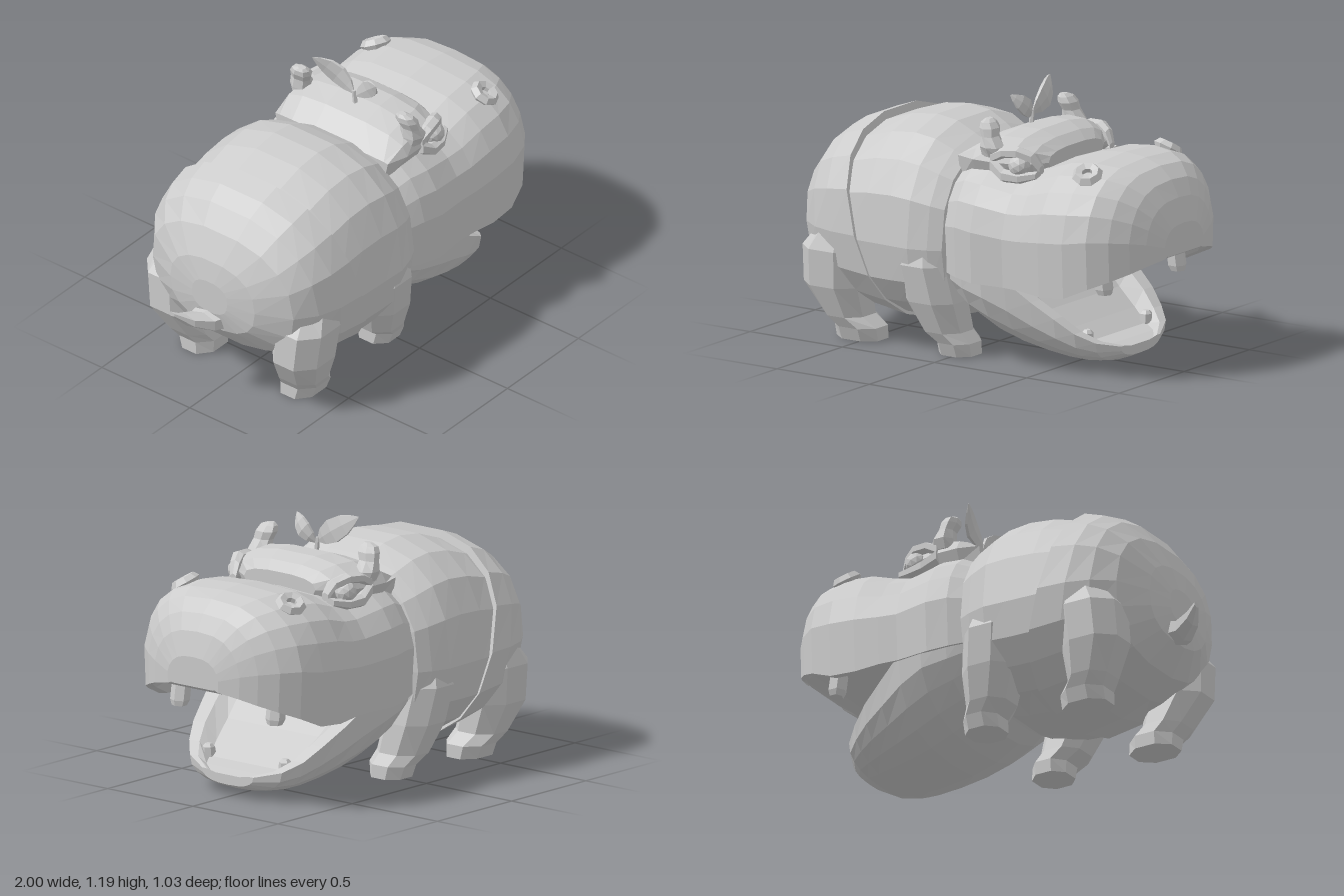
import * as THREE from 'three';

const material = new THREE.MeshStandardMaterial({ color: 0xcccccc, flatShading: true });
const V = (x, y, z) => new THREE.Vector3(x, y, z);
const spow = (v, e) => Math.sign(v) * Math.pow(Math.abs(v), e);

// Skin a list of closed rings and cap both ends.
function loft(rings) {
  const pos = [];
  const tri = (...pts) => pts.forEach((p) => pos.push(p.x, p.y, p.z));
  const n = rings[0].length;
  for (let j = 0; j < rings.length - 1; j++) {
    for (let i = 0; i < n; i++) {
      const k = (i + 1) % n;
      const a = rings[j][i], b = rings[j + 1][i], c = rings[j + 1][k], d = rings[j][k];
      tri(a, b, c);
      tri(a, c, d);
    }
  }
  const centre = (r) => r.reduce((s, p) => s.add(p), V(0, 0, 0)).divideScalar(n);
  const first = rings[0], last = rings[rings.length - 1];
  const c0 = centre(first), c1 = centre(last);
  for (let i = 0; i < n; i++) {
    const k = (i + 1) % n;
    tri(c0, first[i], first[k]);
    tri(c1, last[k], last[i]);
  }
  const g = new THREE.BufferGeometry();
  g.setAttribute('position', new THREE.Float32BufferAttribute(pos, 3));
  g.computeVertexNormals();
  return g;
}

// Cross-section across x: half width w, top, bottom, height of the widest line, squareness e.
function section(x, w, top, bottom, mid, e, n = 18) {
  return Array.from({ length: n }, (_, i) => {
    const a = (i / n) * Math.PI * 2, s = spow(Math.sin(a), e);
    return V(x, mid + s * (s > 0 ? top - mid : mid - bottom), w * spow(Math.cos(a), e));
  });
}

// Loft of ellipses facing dir; rows are [x, y, z, side radius, other radius].
function limb(dir, rows, sides = 8) {
  dir.normalize();
  const ref = Math.abs(dir.x) > 0.9 ? V(0, 1, 0) : V(1, 0, 0);
  const perp = dir.clone().cross(ref).normalize();
  return loft(rows.map(([x, y, z, rp, rr]) => Array.from({ length: sides }, (_, i) => {
    const a = ((i + 0.5) / sides) * Math.PI * 2;
    return V(x, y, z).addScaledVector(perp, rp * spow(Math.cos(a), 0.9))
      .addScaledVector(ref, rr * spow(Math.sin(a), 0.9));
  })));
}

export function createModel() {
  const model = new THREE.Group();
  const add = (name, geometry) => {
    const mesh = new THREE.Mesh(geometry, material);
    mesh.name = name;
    model.add(mesh);
    return mesh;
  };

  // Front half of the barrel: x, half width, top, bottom
  add('frontBody', loft([
    [-0.6, 0.47, 0.94, 0.2], [-0.5, 0.5, 0.975, 0.14], [-0.38, 0.505, 1.015, 0.11],
    [-0.25, 0.51, 1.03, 0.11], [-0.14, 0.515, 1.015, 0.12], [-0.05, 0.49, 0.97, 0.14],
    [0.01, 0.46, 0.935, 0.18], [0.03, 0.4, 0.88, 0.24],
  ].map(([x, w, t, b]) => section(x, w, t, b, 0.5, 0.81))));

  // Rump shell with a rim that slants forward towards the belly
  const rump = [
    [-0.86, 0.1, 0.6, 0.44], [-0.845, 0.24, 0.7, 0.35], [-0.79, 0.4, 0.825, 0.24],
    [-0.72, 0.47, 0.915, 0.17], [-0.64, 0.505, 0.965, 0.12], [-0.54, 0.517, 1.0, 0.09],
  ].map(([x, w, t, b]) => section(x, w, t, b, 0.52, 0.82));
  rump.forEach((ring) => ring.forEach((p) => {
    p.x += ((p.x + 0.86) / 0.32) * 0.26 * Math.pow(Math.max(0, 1 - (p.y - 0.1) / 0.9), 1.3);
  }));
  add('rump', loft(rump));

  // Upper head with a shallow palate: x, half width, top, lip, palate
  add('upperHead', loft([
    [0.0, 0.435, 0.88, 0.4, 0.4], [0.08, 0.465, 0.92, 0.39, 0.39], [0.18, 0.485, 0.92, 0.38, 0.4],
    [0.34, 0.47, 0.89, 0.38, 0.45], [0.43, 0.48, 0.9, 0.38, 0.45], [0.55, 0.49, 0.943, 0.37, 0.46],
    [0.68, 0.488, 0.957, 0.38, 0.47], [0.79, 0.46, 0.947, 0.43, 0.48], [0.87, 0.4, 0.92, 0.465, 0.495],
    [0.93, 0.325, 0.865, 0.495, 0.515], [0.97, 0.25, 0.79, 0.52, 0.53], [1.0, 0.15, 0.68, 0.54, 0.545],
  ].map(([x, w, top, lip, roof]) => {
    const ring = [];
    const e = 0.62 + 0.12 * THREE.MathUtils.smoothstep(x, 0.7, 1);
    for (let i = 0; i <= 12; i++) {
      const a = (i / 12) * Math.PI;
      const bulge = i % 12 ? 1.02 : 0.975;
      ring.push(V(x, lip + (top - lip) * Math.pow(Math.abs(Math.sin(a)), e), w * bulge * spow(Math.cos(a), e)));
    }
    for (const f of [-0.87, -0.78, -0.4, 0, 0.4, 0.78, 0.87]) {
      ring.push(V(x, Math.abs(f) > 0.8 ? lip + 0.01 : roof, f * w));
    }
    return ring;
  })));

  // Lower jaw trough: x, half width, rim height, underside, floor
  add('lowerJaw', loft([
    [0.01, 0.42, 0.46, 0.22, 0.46], [0.1, 0.45, 0.46, 0.15, 0.46], [0.22, 0.47, 0.46, 0.09, 0.44],
    [0.34, 0.45, 0.41, 0.05, 0.37], [0.46, 0.415, 0.32, 0.03, 0.26], [0.56, 0.38, 0.25, 0.02, 0.185],
    [0.64, 0.335, 0.185, 0.02, 0.13], [0.71, 0.27, 0.14, 0.03, 0.115], [0.765, 0.15, 0.11, 0.055, 0.1],
  ].map(([x, w, rim, under, floor]) => {
    const ring = [];
    for (let i = 0; i <= 10; i++) {
      const a = Math.PI + (i / 10) * Math.PI;
      ring.push(V(x, rim + (rim - under) * spow(Math.sin(a), 0.8), w * spow(Math.cos(a), 0.8)));
    }
    for (const f of [0.82, 0.64, 0.3, 0, -0.3, -0.64, -0.82]) {
      ring.push(V(x, Math.abs(f) > 0.8 ? rim : floor, f * w));
    }
    return ring;
  })));

  // Skull cap ending in a brow ridge over the snout
  add('brow', loft([
    [0.0, 0.32, 0.915, 0.7], [0.1, 0.35, 0.995, 0.8], [0.2, 0.35, 1.03, 0.8], [0.3, 0.33, 1.03, 0.82],
    [0.37, 0.28, 1.0, 0.84], [0.415, 0.21, 0.96, 0.86],
  ].map(([x, w, t, b]) => section(x, w, t, b, 0.91, 0.75, 14))));

  for (const s of [1, -1]) {
    const side = s > 0 ? 'right' : 'left';

    // Legs, from the sole up
    add(side + 'HindLeg', limb(V(0, 1, 0), [
      [-0.545, 0, s * 0.28, 0.095, 0.12], [-0.545, 0.06, s * 0.29, 0.11, 0.12],
      [-0.59, 0.11, s * 0.31, 0.12, 0.11], [-0.63, 0.25, s * 0.35, 0.135, 0.155],
      [-0.62, 0.42, s * 0.365, 0.14, 0.16], [-0.59, 0.53, s * 0.35, 0.12, 0.1],
    ]));
    add(side + 'FrontLeg', limb(V(0, 1, 0), [
      [-0.015, 0, s * 0.28, 0.095, 0.095], [-0.015, 0.06, s * 0.29, 0.11, 0.095],
      [-0.06, 0.11, s * 0.31, 0.12, 0.11], [-0.095, 0.25, s * 0.35, 0.135, 0.14],
      [-0.12, 0.42, s * 0.38, 0.135, 0.14], [-0.12, 0.53, s * 0.36, 0.12, 0.08],
    ]));

    // Cupped ear leaning in from a bulging base
    add(side + 'Ear', limb(V(0, 1, 0), [
      [0.19, 0.93, s * 0.31, 0.04, 0.06], [0.185, 0.975, s * 0.315, 0.055, 0.055],
      [0.17, 1.02, s * 0.31, 0.05, 0.035], [0.16, 1.055, s * 0.3, 0.055, 0.04],
      [0.15, 1.08, s * 0.295, 0.045, 0.03], [0.145, 1.093, s * 0.285, 0.02, 0.015],
    ], 7));

    // Sunken eye between a heavy upper lid and a cheek fold
    const eye = add(side + 'Eye', new THREE.IcosahedronGeometry(0.05, 1));
    eye.position.set(0.33, 0.905, s * 0.315);
    add(side + 'UpperLid', limb(V(1, 0, 0), [
      [0.2, 0.93, s * 0.33, 0.03, 0.03], [0.26, 0.96, s * 0.33, 0.035, 0.025],
      [0.33, 0.965, s * 0.315, 0.035, 0.025], [0.39, 0.94, s * 0.285, 0.03, 0.025],
      [0.42, 0.89, s * 0.27, 0.02, 0.02],
    ], 6));
    add(side + 'LowerLid', limb(V(1, 0, 0), [
      [0.2, 0.9, s * 0.335, 0.03, 0.035], [0.27, 0.86, s * 0.35, 0.03, 0.03],
      [0.35, 0.855, s * 0.335, 0.03, 0.025], [0.42, 0.87, s * 0.3, 0.025, 0.02],
    ], 6));

    // Raised nostril ring
    const nostril = add(side + 'Nostril', new THREE.TorusGeometry(0.045, 0.026, 5, 8));
    nostril.position.set(0.695, 0.915, s * 0.31);
    nostril.rotation.set(-Math.PI / 2 + s * 0.5, 0.2, 0);

    // Tusks
    add(side + 'UpperTusk', limb(V(0, 1, 0), [
      [0.77, 0.375, s * 0.28, 0.035, 0.03], [0.765, 0.4, s * 0.28, 0.045, 0.04],
      [0.75, 0.5, s * 0.28, 0.045, 0.04],
    ], 6));
    add(side + 'LowerTusk', limb(V(0, 1, 0), [
      [0.63, 0.1, s * 0.225, 0.035, 0.035], [0.635, 0.17, s * 0.225, 0.028, 0.028],
      [0.635, 0.185, s * 0.225, 0.015, 0.015],
    ], 6));
  }

  // Tail flicked up and to one side
  add('tail', limb(V(-1, 0, 0), [
    [-0.8, 0.4, 0, 0.1, 0.06], [-0.88, 0.395, -0.02, 0.075, 0.045],
    [-0.95, 0.42, -0.06, 0.055, 0.03], [-1.0, 0.46, -0.105, 0.02, 0.012],
  ], 6));

  // Sprout on the crown
  add('stem', limb(V(0, 1, 0), [
    [0.17, 1.0, 0, 0.012, 0.012], [0.17, 1.075, -0.01, 0.01, 0.01],
  ], 5));
  const leaf = (name, from, to, width) => {
    const rows = [[0, 0.12], [0.2, 0.7], [0.45, 1], [0.7, 0.85], [0.88, 0.45], [1, 0.05]].map(([t, f]) => {
      const p = from.clone().lerp(to, t);
      return [p.x + 0.025 * Math.sin(t * Math.PI), p.y, p.z, width * f, 0.014 * f];
    });
    add(name, limb(to.clone().sub(from), rows, 6));
  };
  leaf('largeLeaf', V(0.17, 1.06, -0.01), V(0.125, 1.19, -0.21), 0.062);
  leaf('smallLeaf', V(0.17, 1.05, 0), V(0.15, 1.165, 0.13), 0.045);

  return model;
}
